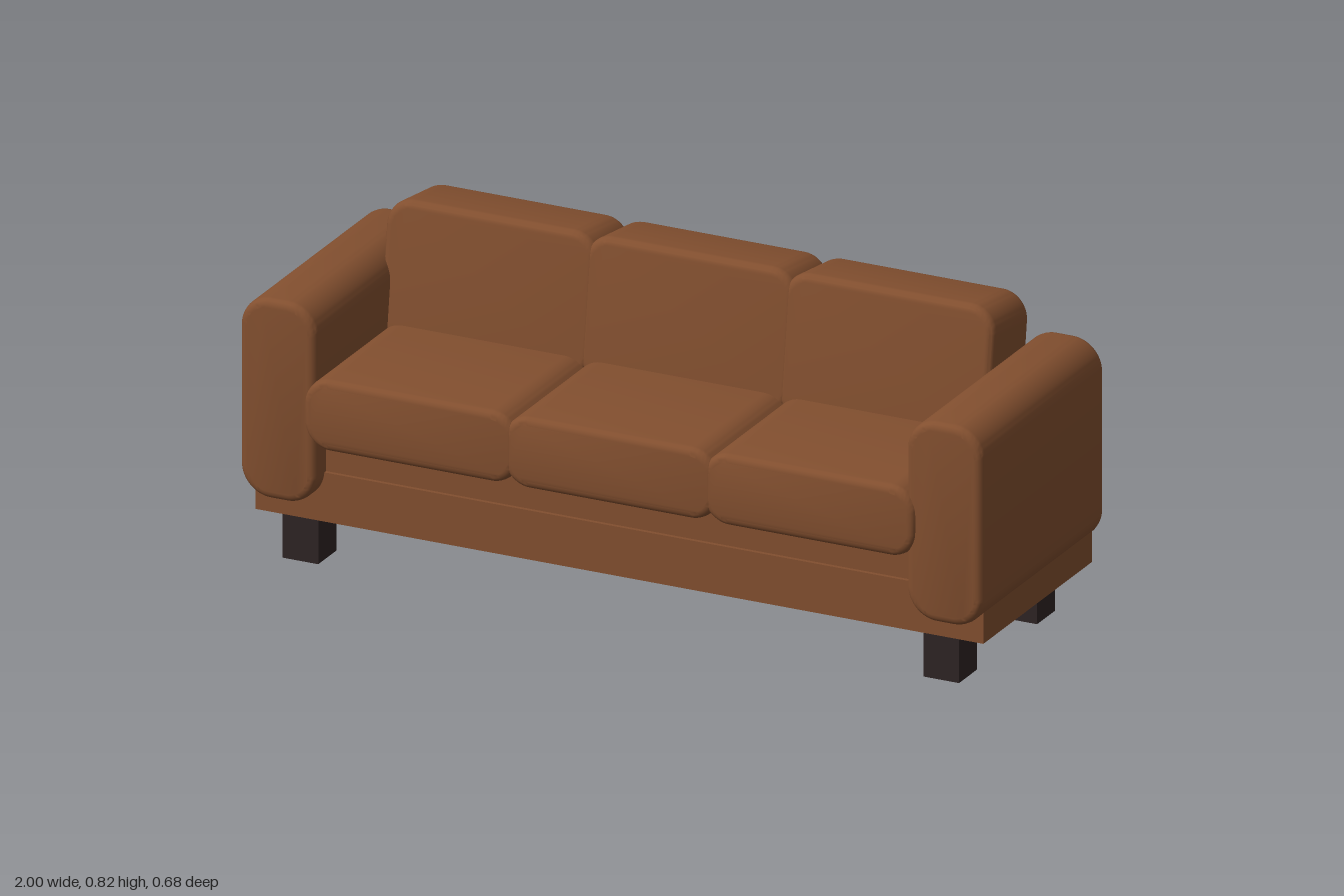
import * as THREE from 'three';
import { toCreasedNormals } from 'three/addons/utils/BufferGeometryUtils.js';

// Pad with a rounded front outline and softly bevelled front and back edges, centred on the origin
function padGeometry(w, h, d, r, bevel = 0.02) {
  const x = w / 2, y = h / 2;
  const s = new THREE.Shape();
  s.moveTo(-x + r, -y);
  s.lineTo(x - r, -y);
  s.absarc(x - r, -y + r, r, -Math.PI / 2, 0, false);
  s.lineTo(x, y - r);
  s.absarc(x - r, y - r, r, 0, Math.PI / 2, false);
  s.lineTo(-x + r, y);
  s.absarc(-x + r, y - r, r, Math.PI / 2, Math.PI, false);
  s.lineTo(-x, -y + r);
  s.absarc(-x + r, -y + r, r, Math.PI, Math.PI * 1.5, false);
  const g = new THREE.ExtrudeGeometry(s, {
    depth: d - 2 * bevel, curveSegments: 8, bevelEnabled: true, bevelSegments: 4,
    bevelSize: bevel, bevelThickness: bevel, bevelOffset: -bevel,
  });
  g.translate(0, 0, -d / 2 + bevel);
  return toCreasedNormals(g, 0.7);
}

export function createModel() {
  const model = new THREE.Group();
  model.name = 'sofa';
  const leather = new THREE.MeshStandardMaterial({ color: 0x824f2f });
  leather.name = 'brown leather';
  const darkWood = new THREE.MeshStandardMaterial({ color: 0x2e2424 });
  darkWood.name = 'dark wood';

  const add = (name, geometry, material, x, y, z, parent = model) => {
    const m = new THREE.Mesh(geometry, material);
    m.name = name;
    m.position.set(x, y, z);
    parent.add(m);
    return m;
  };
  // Box given by its lower and upper limits
  const box = (name, material, [x0, x1], [y0, y1], [z0, z1], parent) =>
    add(name, new THREE.BoxGeometry(x1 - x0, y1 - y0, z1 - z0), material,
      (x0 + x1) / 2, (y0 + y1) / 2, (z0 + z1) / 2, parent);

  // Frame: wide base and the seat platform on it
  box('base', leather, [-0.98, 0.98], [0.117, 0.245], [-0.31, 0.28]);
  box('seatPlatform', leather, [-0.81, 0.81], [0.245, 0.335], [-0.31, 0.27]);

  // Arms and legs, mirrored
  const arm = padGeometry(0.205, 0.52, 0.67, 0.08);
  for (const side of [-1, 1]) {
    const label = side > 0 ? 'left' : 'right';
    add(label + 'Arm', arm, leather, side * 0.8975, 0.43, -0.005);
    const x = side * 0.863;
    box(label + 'FrontLeg', darkWood, [x - 0.048, x + 0.048], [0, 0.117], [0.175, 0.273]);
    box(label + 'RearLeg', darkWood, [x - 0.048, x + 0.048], [0, 0.117], [-0.249, -0.151]);
  }

  // Leaning backrest: local origin at the middle of its top edge
  const backrest = new THREE.Group();
  backrest.name = 'backrest';
  backrest.position.set(0, 0.807, -0.205);
  backrest.rotation.x = -0.135;
  model.add(backrest);
  box('backPanel', leather, [-0.82, 0.82], [-0.385, -0.205], [-0.104, -0.04], backrest);

  // Three seat and three back cushions, slightly overlapping
  const seat = padGeometry(0.575, 0.185, 0.59, 0.07);
  const back = padGeometry(0.57, 0.37, 0.2, 0.07);
  for (let i = -1; i <= 1; i++) {
    add('seatCushion', seat, leather, i * 0.537, 0.4175, 0.045);
    add('backCushion', back, leather, i * 0.535, -0.185, 0, backrest);
  }
  return model;
}
